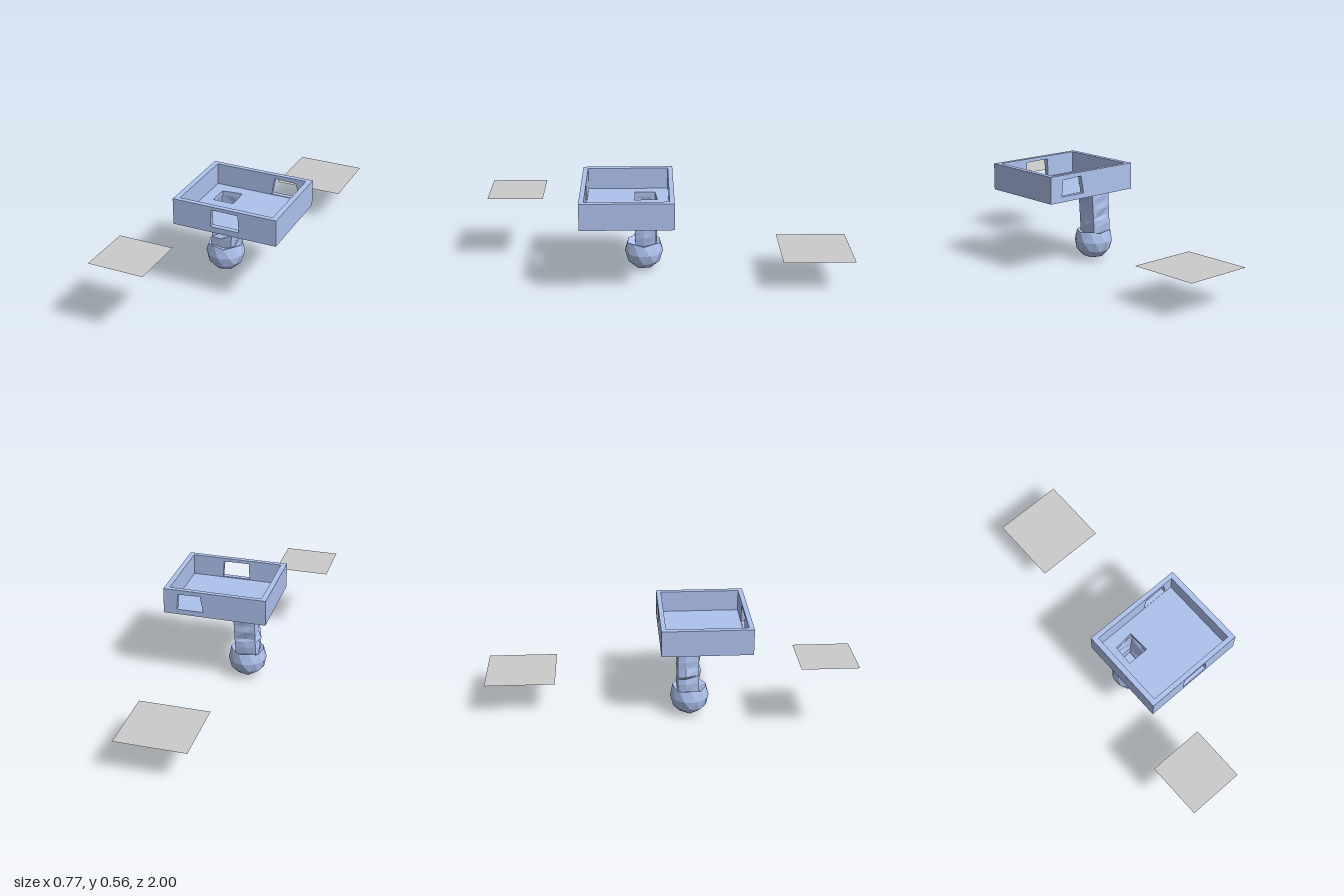
import * as THREE from 'three';

const blue = new THREE.MeshStandardMaterial({ color: 0xaec2ee, flatShading: true });
const blueThin = new THREE.MeshStandardMaterial({ color: 0xaec2ee, flatShading: true, side: THREE.DoubleSide });
const grey = new THREE.MeshStandardMaterial({ color: 0xcccccc, side: THREE.DoubleSide });

const polygon = (Type, pts) => new Type(pts.map(([x, y]) => new THREE.Vector2(x, y)));

// Flat slab with one hole, extruded along +z
function slab(outline, hole, depth) {
  const shape = polygon(THREE.Shape, outline);
  shape.holes.push(polygon(THREE.Path, hole));
  return new THREE.ExtrudeGeometry(shape, { depth, bevelEnabled: false });
}

const rect = (x0, y0, x1, y1) => [[x0, y0], [x1, y0], [x1, y1], [x0, y1]];

export function createModel() {
  const model = new THREE.Group();
  const add = (name, geometry, material, parent = model) => {
    const mesh = new THREE.Mesh(geometry, material);
    mesh.name = name;
    parent.add(mesh);
    return mesh;
  };

  // Open tray: outer (X, Z) and inner (x, z) limits, bottom, floor and top heights
  const X0 = -0.195, X1 = 0.385, Z0 = -0.03, Z1 = 0.467;
  const x0 = -0.165, x1 = 0.355, z0 = -0.004, z1 = 0.44;
  const bottom = 0.41, floorY = 0.437, top = 0.557;
  const tray = new THREE.Group();
  tray.name = 'tray';
  model.add(tray);

  // Front and back walls with crooked windows
  const wall = rect(X0, bottom, X1, top);
  const frontWindow = [[0.02, 0.442], [0.18, 0.442], [0.173, 0.537], [0.025, 0.539]];
  const backWindow = [[0.158, 0.44], [0.31, 0.44], [0.302, 0.53], [0.175, 0.535]];
  add('frontWall', slab(wall, frontWindow, Z1 - z1), blue, tray).position.z = z1;
  add('backWall', slab(wall, backWindow, z0 - Z0), blue, tray).position.z = Z0;

  // Side walls
  for (const [name, a, b] of [['rightWall', X0, x0], ['leftWall', x1, X1]]) {
    add(name, new THREE.BoxGeometry(b - a, top - bottom, z1 - z0), blue, tray)
      .position.set((a + b) / 2, (top + bottom) / 2, (z0 + z1) / 2);
  }

  // Floor, open above the hollow stem
  const floorHole = [[-0.105, -0.18], [0.015, -0.18], [0.011, -0.056], [-0.101, -0.068]];
  const floor = slab(rect(x0, -z1, x1, -z0), floorHole, floorY - bottom).rotateX(-Math.PI / 2);
  add('floor', floor, blue, tray).position.y = bottom;

  // Hollow rugged stem: [height, bulge of the right, front, left and back sides]
  const rings = [
    [0.14, 0.004, 0.0, 0.004, 0.0],
    [0.205, 0.014, 0.004, 0.012, 0.008],
    [0.235, 0.008, -0.022, 0.008, 0.004],
    [0.255, 0.026, 0.016, 0.006, -0.008],
    [0.3, 0.008, 0.003, 0.004, 0.006],
    [0.335, 0.012, -0.008, 0.004, 0.0],
    [0.37, 0.008, 0.018, 0.015, 0.006],
    [0.415, 0.0, 0.0, 0.0, 0.0],
  ];
  const positions = [], index = [];
  rings.forEach(([y, r, f, l, b], i) => {
    const t = (y - 0.14) / 0.275;
    const a = -0.121 + 0.015 * t, c = -0.003 + 0.017 * t, back = 0.064, front = 0.18;
    const mx = (a + c) / 2, mz = (back + front) / 2;
    const loop = [
      [a, back], [a - r, mz - 0.015], [a, front], [mx, front + f],
      [c, front], [c + l, mz + 0.01], [c, back], [mx, back - b],
    ];
    loop.forEach(([x, z], j) => {
      positions.push(x, y, z);
      if (i === rings.length - 1) return;
      const p = i * 8 + j, q = i * 8 + (j + 1) % 8;
      index.push(p, q, q + 8, p, q + 8, p + 8);
    });
  });
  const stem = new THREE.BufferGeometry();
  stem.setAttribute('position', new THREE.Float32BufferAttribute(positions, 3));
  stem.setIndex(index);
  stem.computeVertexNormals();
  add('stem', stem, blueThin);

  // Faceted bulb with its top pressed into a shallow dish behind a raised rim
  const radius = 0.108;
  const bulb = new THREE.IcosahedronGeometry(radius, 1).rotateZ(-Math.atan(2 / (1 + Math.sqrt(5))));
  const p = bulb.attributes.position;
  for (let i = 0; i < p.count; i++) {
    const y = p.getY(i);
    if (y > 0.7 * radius) p.setY(i, 0.042);
    else if (y > 0.3 * radius) p.setY(i, y + 0.007);
  }
  bulb.computeVertexNormals();
  add('bulb', bulb, blue).position.set(-0.055, radius, 0.132);

  // Two loose flat panels
  for (const [name, w, d, x, y, z] of [
    ['frontPanel', 0.305, 0.308, -0.233, 0.41, 0.846],
    ['backPanel', 0.388, 0.388, 0.135, 0.193, -0.806],
  ]) {
    add(name, new THREE.PlaneGeometry(w, d).rotateX(-Math.PI / 2), grey).position.set(x, y, z);
  }
  return model;
}
